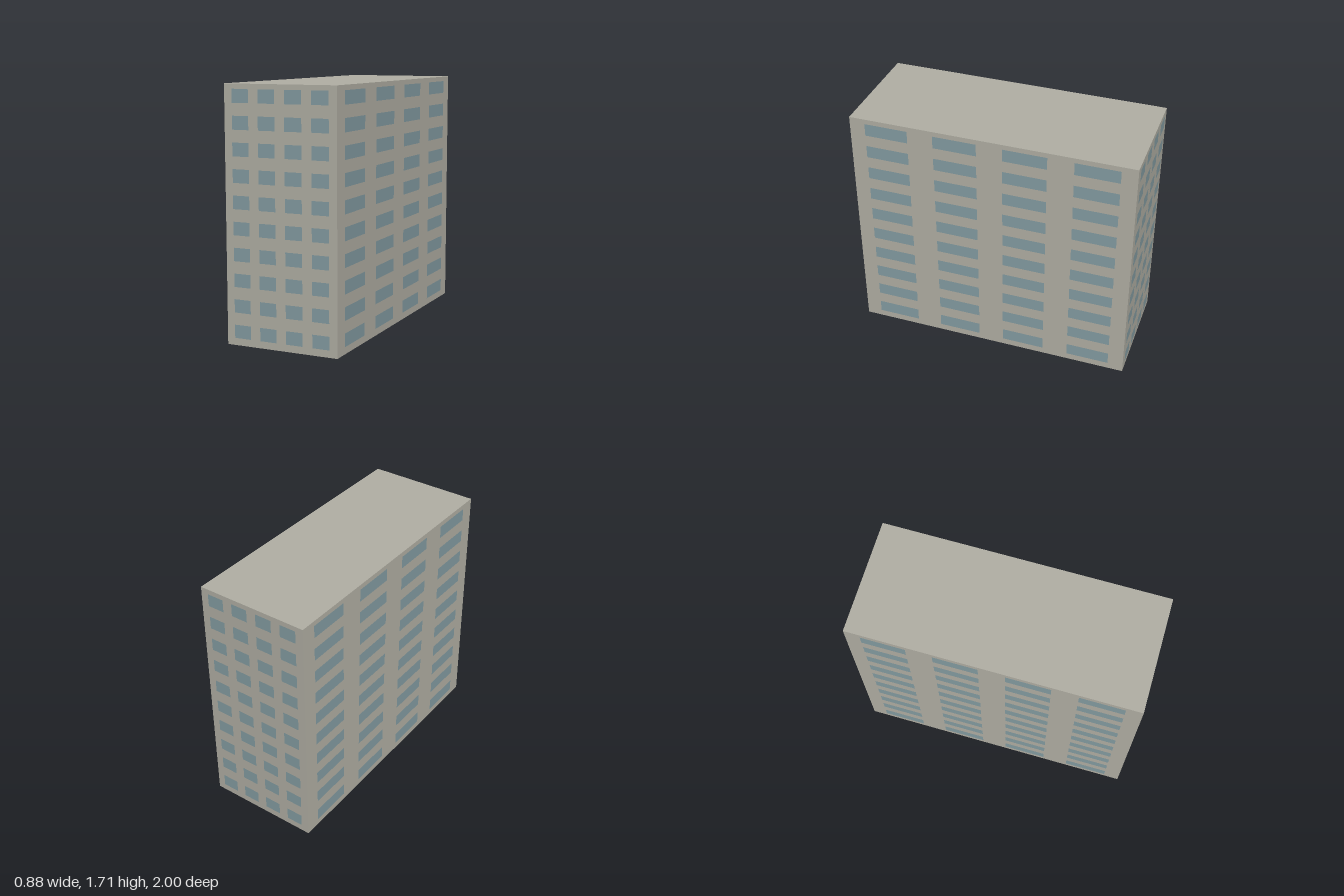
import * as THREE from 'three';

const WIDTH = 0.798, DEPTH = 1.966, HEIGHT = 1.708;
const FLOORS = 10, COLUMNS = 4;

export function createModel() {
  const model = new THREE.Group();
  model.name = 'apartmentBlock';

  const concrete = new THREE.MeshStandardMaterial({ color: 0xb0aea3, side: THREE.DoubleSide });
  concrete.name = 'concrete';
  const glass = new THREE.MeshStandardMaterial({ color: 0x839ba1 });
  glass.name = 'glass';

  // One wall with its grid of windows, facing outwards at the given angle
  function addFacade(name, length, distance, angle, spacing, windowWidth) {
    const facade = new THREE.Group();
    facade.name = name;

    const wall = new THREE.Mesh(new THREE.PlaneGeometry(length, HEIGHT), concrete);
    wall.name = name + 'Wall';
    wall.position.set(0, HEIGHT / 2, distance);
    facade.add(wall);

    const floorHeight = HEIGHT / FLOORS;
    const pane = new THREE.PlaneGeometry(windowWidth, 0.089);
    for (let floor = 0; floor < FLOORS; floor++) {
      for (let column = 0; column < COLUMNS; column++) {
        const win = new THREE.Mesh(pane, glass);
        win.name = name + 'Window';
        win.position.set(
          (column - (COLUMNS - 1) / 2) * spacing,
          floor * floorHeight + 0.093,
          distance + 0.002
        );
        facade.add(win);
      }
    }
    facade.rotation.y = angle;
    model.add(facade);
  }

  addFacade('front', WIDTH, DEPTH / 2, 0, 0.189, 0.12);
  addFacade('back', WIDTH, DEPTH / 2, Math.PI, 0.189, 0.12);
  addFacade('left', DEPTH, WIDTH / 2, Math.PI / 2, 0.482, 0.303);
  addFacade('right', DEPTH, WIDTH / 2, -Math.PI / 2, 0.482, 0.303);

  // Flat roof; the underside of the block stays open
  const roof = new THREE.Mesh(new THREE.PlaneGeometry(WIDTH, DEPTH), concrete);
  roof.name = 'roof';
  roof.rotation.x = -Math.PI / 2;
  roof.position.y = HEIGHT;
  model.add(roof);

  // The block stands slightly turned on its plot
  model.rotation.y = 0.0444;
  return model;
}
